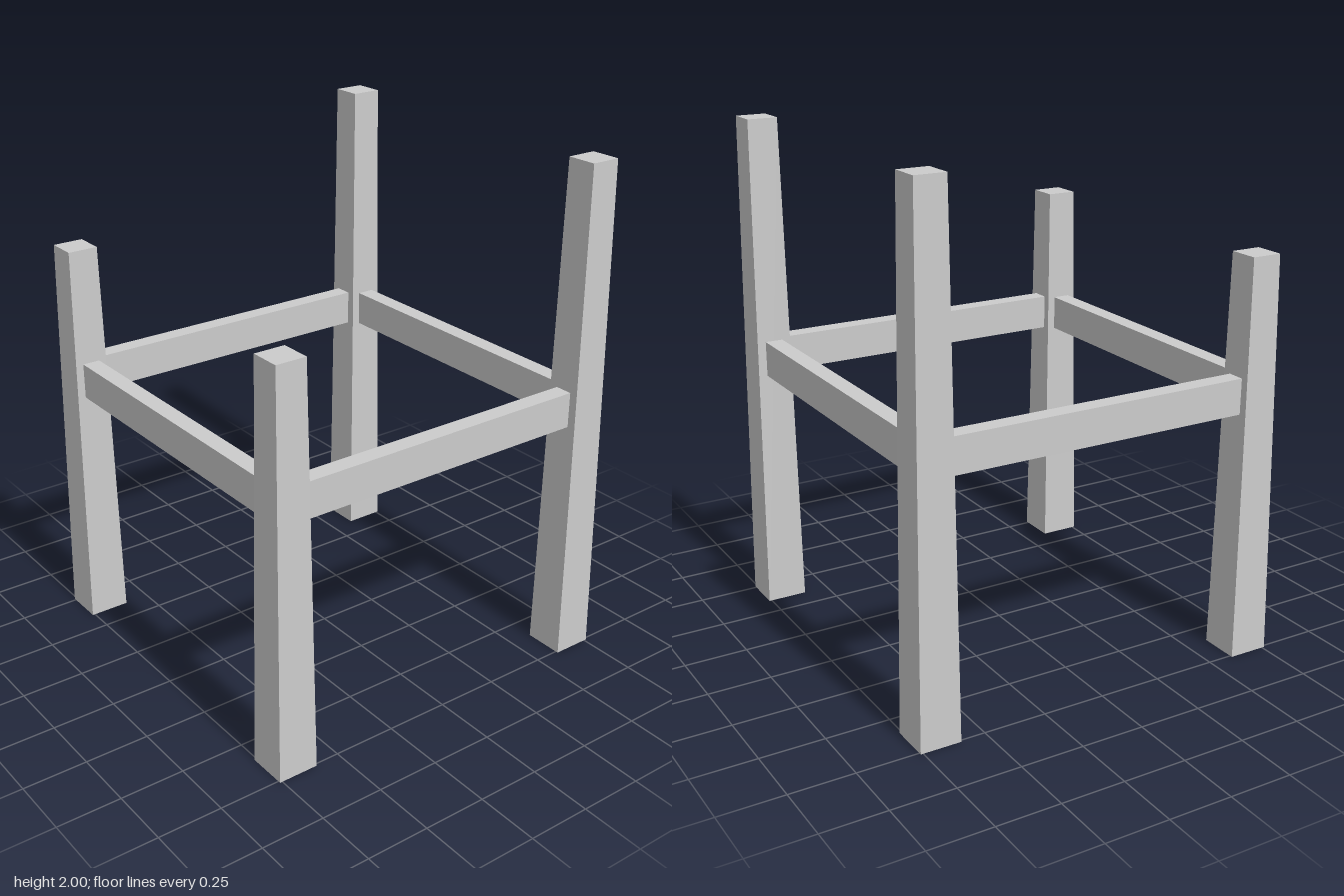
import * as THREE from 'three';

const material = new THREE.MeshStandardMaterial({ color: 0xcccccc, flatShading: true });
const OFFSET = 0.68; // leg centres in x and z

// Square post that narrows evenly from foot to top
function taperedPost(height, bottom, top) {
  const geometry = new THREE.BoxGeometry(1, height, 1).translate(0, height / 2, 0);
  const p = geometry.attributes.position;
  for (let i = 0; i < p.count; i++) {
    const width = p.getY(i) > height / 2 ? top : bottom;
    p.setX(i, p.getX(i) * width);
    p.setZ(i, p.getZ(i) * width);
  }
  geometry.computeVertexNormals();
  return geometry;
}

export function createModel() {
  const group = new THREE.Group();
  const add = (geometry, name, x, y, z) => {
    const mesh = new THREE.Mesh(geometry, material);
    mesh.name = name;
    mesh.position.set(x, y, z);
    group.add(mesh);
    return mesh;
  };

  // Four legs: the left pair is taller than the right pair
  const tall = taperedPost(2, 0.16, 0.12);
  const short = taperedPost(1.58, 0.16, 0.12);
  for (const z of [1, -1]) {
    const end = z > 0 ? 'front' : 'back';
    add(tall, end + 'LeftLeg', OFFSET, 0, z * OFFSET);
    add(short, end + 'RightLeg', -OFFSET, 0, z * OFFSET);
  }

  // Four rails, their ends set a little way into the legs
  const rail = new THREE.BoxGeometry(1.25, 0.14, 0.07);
  for (const s of [1, -1]) {
    add(rail, s > 0 ? 'frontRail' : 'backRail', 0, 1.05, s * OFFSET);
    add(rail, s > 0 ? 'leftRail' : 'rightRail', s * OFFSET, 1.05, 0).rotation.y = Math.PI / 2;
  }
  return group;
}
